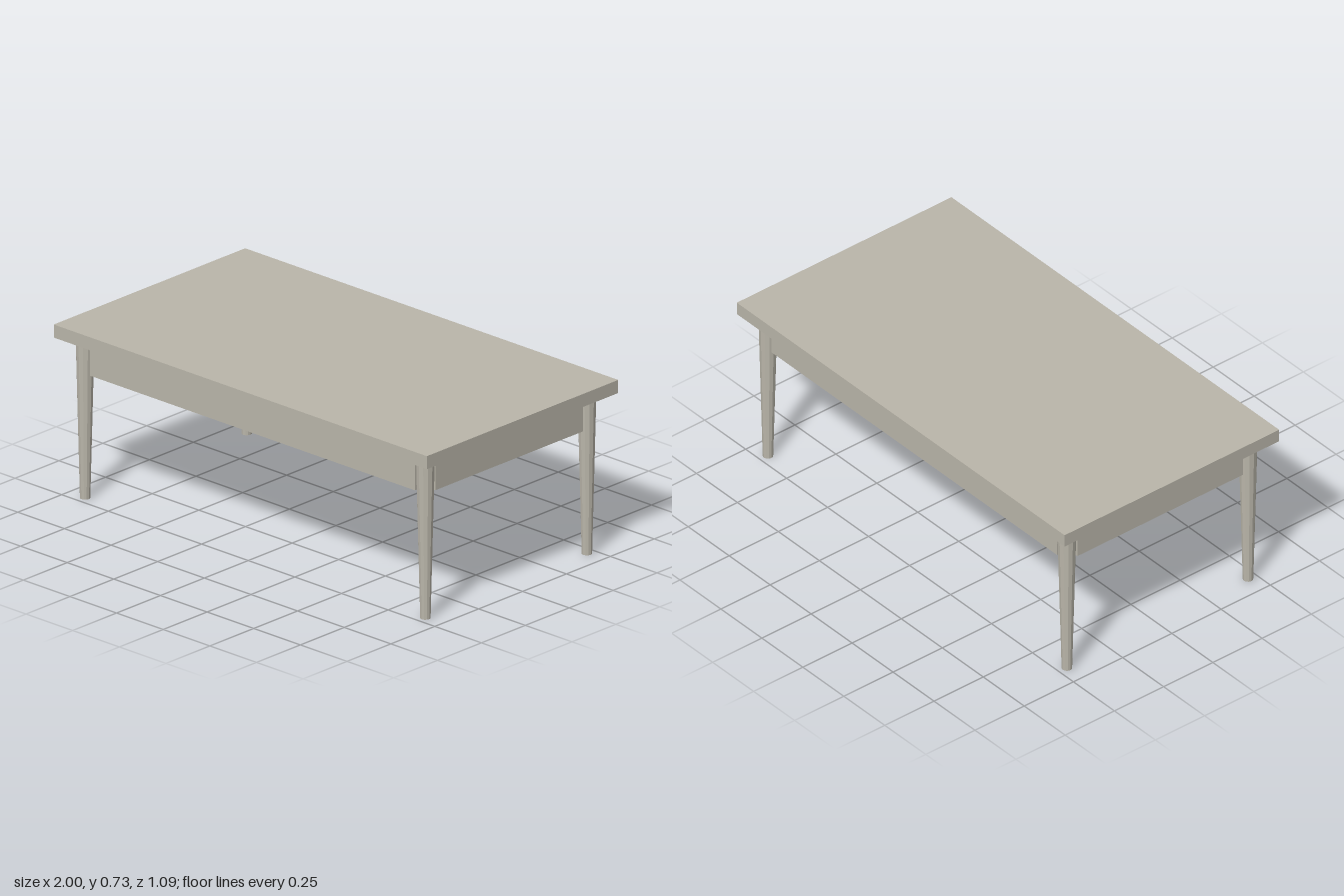
import * as THREE from 'three';

export function createModel() {
  const table = new THREE.Group();
  table.name = 'table';
  const wood = new THREE.MeshStandardMaterial({ color: 0xbab6aa, flatShading: true });
  wood.name = 'pale grey wood';

  const add = (name, geometry, x, y, z) => {
    const mesh = new THREE.Mesh(geometry, wood);
    mesh.name = name;
    mesh.position.set(x, y, z);
    table.add(mesh);
  };

  const topHeight = 0.73, underside = 0.675;
  const legX = 0.912, legZ = 0.46;
  const apronHeight = 0.145, apronThickness = 0.032;
  const apronY = underside - apronHeight / 2;

  // Flat top
  add('tableTop', new THREE.BoxGeometry(2, topHeight - underside, 1.09), 0, (topHeight + underside) / 2, 0);

  // Tapered round legs at the corners
  const leg = new THREE.CylinderGeometry(0.038, 0.021, underside, 12);
  for (const [side, sx] of [['Left', 1], ['Right', -1]]) {
    for (const [end, sz] of [['front', 1], ['back', -1]]) {
      add(`${end}${side}Leg`, leg, sx * legX, underside / 2, sz * legZ);
    }
  }

  // Aprons running between the legs
  const longApron = new THREE.BoxGeometry(1.742, apronHeight, apronThickness);
  const shortApron = new THREE.BoxGeometry(apronThickness, apronHeight, 0.84);
  add('frontApron', longApron, 0, apronY, legZ);
  add('backApron', longApron, 0, apronY, -legZ);
  add('leftApron', shortApron, legX, apronY, 0);
  add('rightApron', shortApron, -legX, apronY, 0);

  return table;
}
